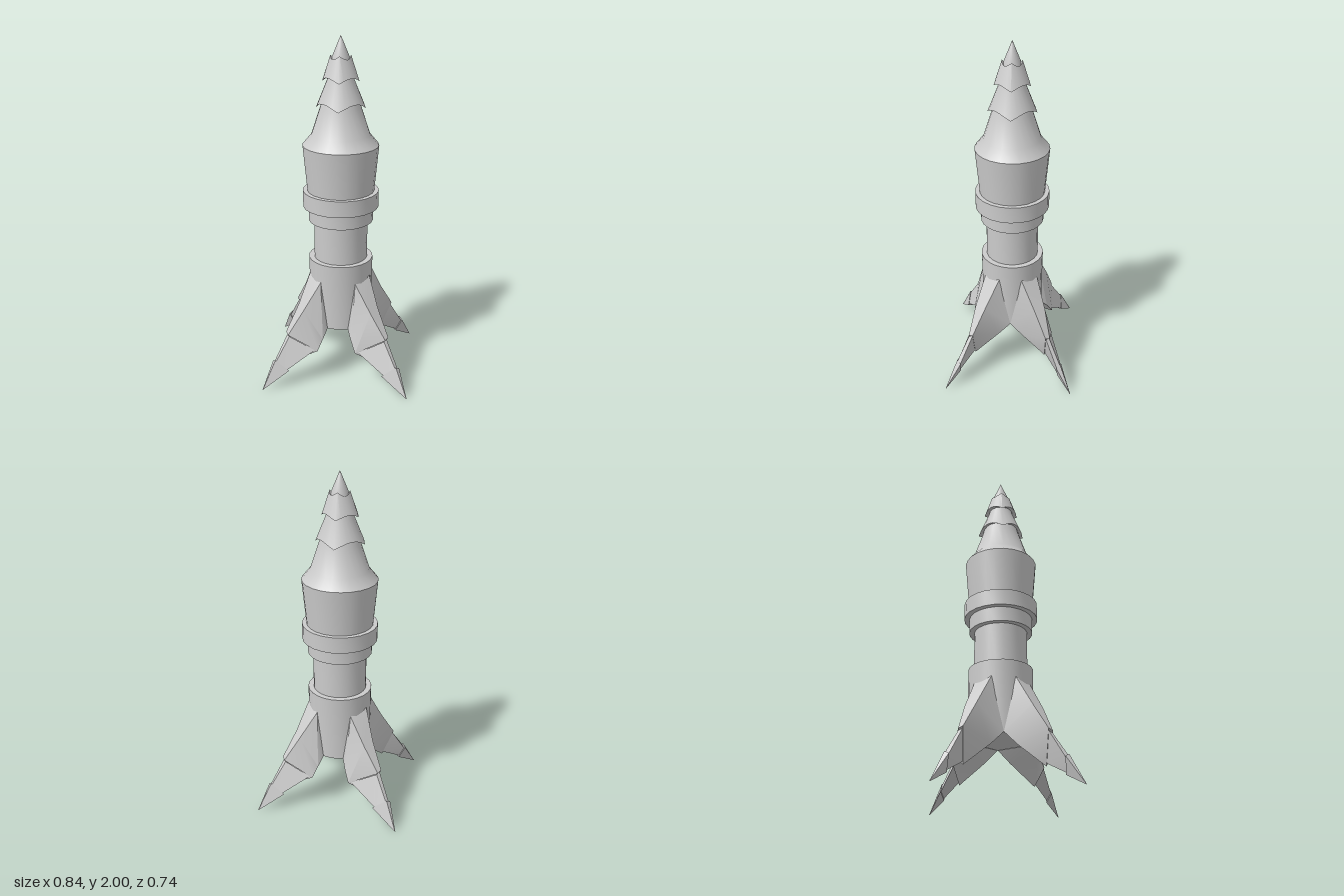
import * as THREE from 'three';
import { toCreasedNormals } from 'three/addons/utils/BufferGeometryUtils.js';

const material = new THREE.MeshStandardMaterial({ color: 0xcccccc });
const SIDES = 24;
const DEPTH = 0.975; // hull is slightly shallower than wide

function addMesh(parent, name, geometry, crease = 0.5) {
  const mesh = new THREE.Mesh(toCreasedNormals(geometry, crease), material);
  mesh.name = name;
  parent.add(mesh);
  return mesh;
}

// Turned part; profile is [radius, y, scallop lift] from bottom to top
function turned(parent, name, profile) {
  const geo = new THREE.LatheGeometry(profile.map(([r, y]) => new THREE.Vector2(r, y)), SIDES);
  const pos = geo.attributes.position;
  for (let i = 0; i < pos.count; i++) {
    const [, y, lift = 0, taper = 0] = profile[i % profile.length];
    const wave = Math.abs(Math.sin((2 * Math.PI * 2 * Math.floor(i / profile.length)) / SIDES));
    const k = 1 - taper * wave; // stay on the cone while the edge rises
    pos.setXYZ(i, pos.getX(i) * k, y + lift * wave, pos.getZ(i) * DEPTH * k);
  }
  return addMesh(parent, name, geo);
}

// Loft through four-cornered sections, capped at both ends, mirrored by sx and sz
function loft(sections, sx, sz) {
  const out = [];
  const flip = sx * sz < 0;
  const tri = (a, b, c) => {
    for (const p of flip ? [a, c, b] : [a, b, c]) out.push(p[0] * sx, p[1], p[2] * sz);
  };
  const quad = (a, b, c, d) => { tri(a, b, c); tri(a, c, d); };
  for (let s = 0; s < sections.length - 1; s++) {
    const a = sections[s], b = sections[s + 1];
    for (let i = 0; i < 4; i++) {
      const j = (i + 1) % 4;
      quad(a[i], a[j], b[j], b[i]);
    }
  }
  const first = sections[0], last = sections[sections.length - 1];
  quad(first[3], first[2], first[1], first[0]);
  quad(...last);
  const geo = new THREE.BufferGeometry();
  geo.setAttribute('position', new THREE.Float32BufferAttribute(out, 3));
  geo.computeVertexNormals();
  return geo;
}

// Shrink a section towards its centre
function inset(section, k) {
  const c = [0, 1, 2].map((n) => section.reduce((sum, p) => sum + p[n] / 4, 0));
  return section.map((p) => p.map((v, n) => c[n] + (v - c[n]) * k));
}

// Leg sections: outer edge side/front, lower front corner, lower inner corner
const ROOT = [[0.175, 0.63, 0.065], [0.1, 0.61, 0.153], [0.06, 0.32, 0.17], [0.183, 0.32, 0.0]];
const THIGH = [[0.233, 0.46, 0.145], [0.195, 0.45, 0.205], [0.083, 0.27, 0.215], [0.195, 0.25, 0.07]];
const KNEE = [[0.3, 0.31, 0.215], [0.285, 0.3, 0.24], [0.11, 0.21, 0.25], [0.23, 0.13, 0.21]];
const ANKLE = [[0.37, 0.15, 0.283], [0.352, 0.165, 0.305], [0.27, 0.105, 0.312], [0.33, 0.065, 0.29]];
const TIP = [[0.421, 0.001, 0.37], [0.42, 0.002, 0.371], [0.419, 0.001, 0.37], [0.42, 0, 0.369]];

export function createModel() {
  const model = new THREE.Group();
  model.name = 'rocket';

  // Nose: tip and overlapping scalloped tiers
  turned(model, 'noseTip', [[0, 1.85], [0.05, 1.87], [0.046, 1.89], [0, 2]]);
  turned(model, 'upperNoseTier', [
    [0.07, 1.78], [0.102, 1.755, 0.025, 0.1], [0.056, 1.895, -0.02], [0.04, 1.88, -0.02],
  ]);
  turned(model, 'lowerNoseTier', [
    [0.09, 1.65], [0.138, 1.608, 0.035, 0.1], [0.074, 1.765], [0.064, 1.81], [0, 1.82],
  ]);

  // Upper hull with shoulder
  turned(model, 'upperHull', [
    [0.188, 1.1], [0.215, 1.4], [0.165, 1.46], [0.115, 1.61], [0.095, 1.68], [0, 1.7],
  ]);

  // Rings and neck
  turned(model, 'mainRing', [[0.15, 1.04], [0.217, 1.04], [0.217, 1.135], [0.18, 1.135]]);
  turned(model, 'collar', [[0.14, 0.955], [0.186, 0.955], [0.186, 1.05]]);
  turned(model, 'neck', [[0.155, 0.7], [0.155, 0.98]]);

  // Lower sleeve carrying the legs
  turned(model, 'lowerSleeve', [[0, 0.33], [0.183, 0.32], [0.187, 0.725], [0.15, 0.725]]);

  // Four mirrored legs
  for (const sx of [1, -1]) {
    for (const sz of [1, -1]) {
      const leg = new THREE.Group();
      leg.name = (sz > 0 ? 'front' : 'back') + (sx > 0 ? 'Left' : 'Right') + 'Leg';
      addMesh(leg, 'thighFin', loft([ROOT, THIGH, KNEE], sx, sz), 0.6);
      addMesh(leg, 'shin', loft([inset(KNEE, 0.86), inset(ANKLE, 0.8)], sx, sz), 0.4);
      addMesh(leg, 'claw', loft([ANKLE, TIP], sx, sz), 0.4);
      model.add(leg);
    }
  }
  return model;
}
